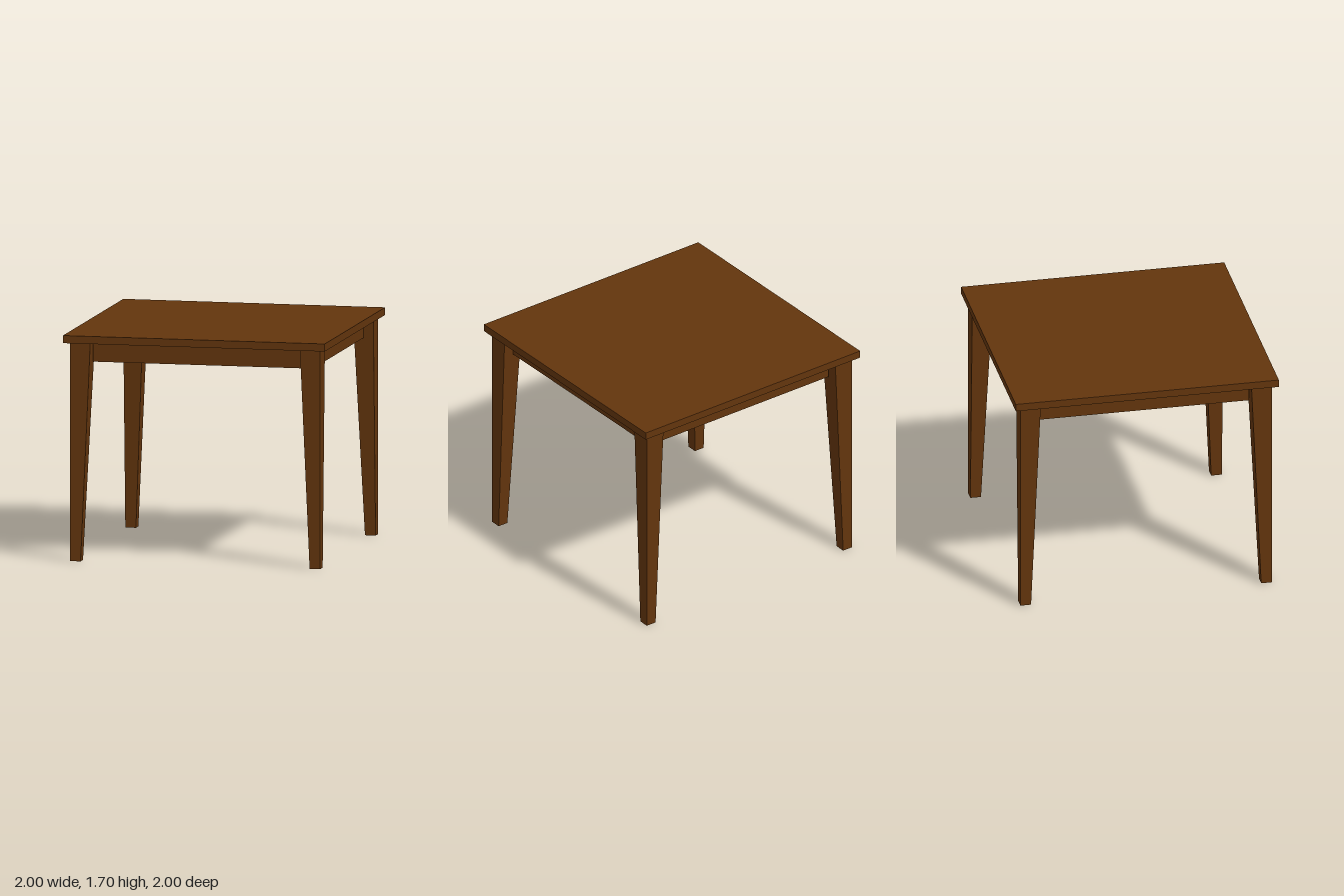
import * as THREE from 'three';

const TOP = 1.7, UNDER = 1.643, OUTER = 0.956;

// Square leg, straight on its two outer faces and tapering on its two inner faces
function legGeometry(topSize, footSize) {
  const geo = new THREE.BoxGeometry(topSize, UNDER, topSize);
  geo.translate(-topSize / 2, UNDER / 2, -topSize / 2); // outer corner on the axis
  const pos = geo.attributes.position;
  for (let i = 0; i < pos.count; i++) {
    if (pos.getY(i) < UNDER / 2) {
      pos.setX(i, pos.getX(i) * footSize / topSize);
      pos.setZ(i, pos.getZ(i) * footSize / topSize);
    }
  }
  const flat = geo.toNonIndexed();
  flat.computeVertexNormals();
  return flat;
}

export function createModel() {
  const wood = new THREE.MeshStandardMaterial({ color: 0x63350d });
  wood.name = 'brown wood';
  const table = new THREE.Group();
  table.name = 'table';

  const add = (name, geo) => {
    const mesh = new THREE.Mesh(geo, wood);
    mesh.name = name;
    table.add(mesh);
    return mesh;
  };

  // Square top
  add('tableTop', new THREE.BoxGeometry(2, TOP - UNDER, 2)).position.y = (TOP + UNDER) / 2;

  const legGeo = legGeometry(0.155, 0.081);
  const apronBottom = 1.494, apronIn = 0.808, apronOut = 0.88;
  const apronGeo = new THREE.BoxGeometry(1.594, UNDER - apronBottom, apronOut - apronIn);
  apronGeo.translate(0, (UNDER + apronBottom) / 2, (apronIn + apronOut) / 2);

  // Four legs and four aprons, turned about the centre
  const legNames = ['frontLeftLeg', 'backLeftLeg', 'backRightLeg', 'frontRightLeg'];
  const apronNames = ['frontApron', 'leftApron', 'backApron', 'rightApron'];
  for (let i = 0; i < 4; i++) {
    const turn = i * Math.PI / 2;
    const leg = add(legNames[i], legGeo);
    leg.position.set(i < 2 ? OUTER : -OUTER, 0, i % 3 === 0 ? OUTER : -OUTER);
    leg.rotation.y = turn;
    add(apronNames[i], apronGeo).rotation.y = turn;
  }
  return table;
}
